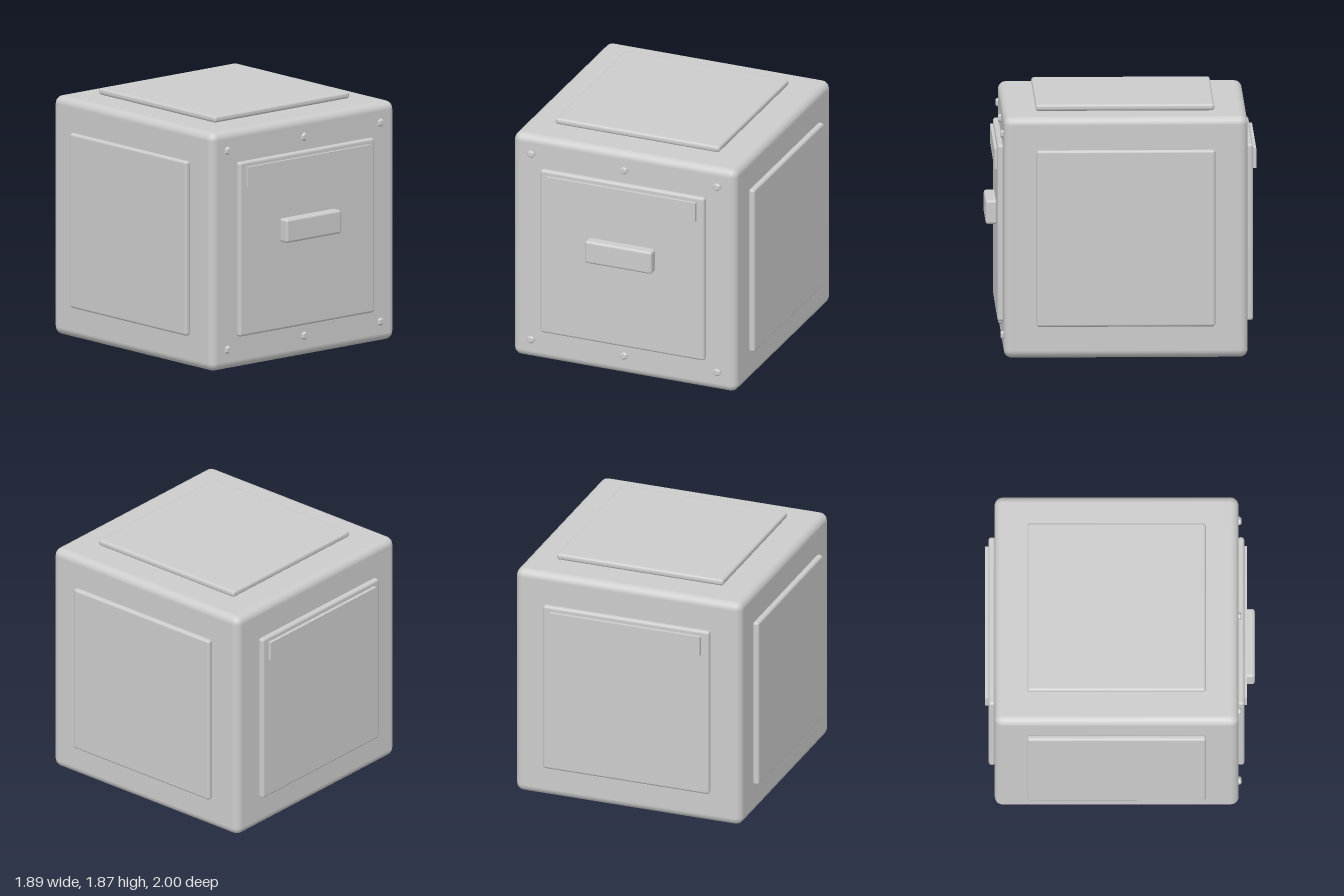
import * as THREE from 'three';
import { RoundedBoxGeometry } from 'three/addons/geometries/RoundedBoxGeometry.js';

// Rounded shell whose flat underside is left open
function openBottomShell(w, h, d, r) {
  const source = new RoundedBoxGeometry(w, h, d, 3, r);
  const pos = source.attributes.position, nor = source.attributes.normal;
  const p = [], n = [];
  for (let i = 0; i < pos.count; i += 3) {
    const underside = [0, 1, 2].every((k) => pos.getY(i + k) < -h / 2 + 1e-4);
    if (underside) continue;
    for (let k = i; k < i + 3; k++) {
      p.push(pos.getX(k), pos.getY(k), pos.getZ(k));
      n.push(nor.getX(k), nor.getY(k), nor.getZ(k));
    }
  }
  const geometry = new THREE.BufferGeometry();
  geometry.setAttribute('position', new THREE.Float32BufferAttribute(p, 3));
  geometry.setAttribute('normal', new THREE.Float32BufferAttribute(n, 3));
  return geometry;
}

export function createModel() {
  const model = new THREE.Group();
  model.name = 'panelledCrate';
  const grey = new THREE.MeshStandardMaterial({ color: 0xcccccc, side: THREE.DoubleSide });
  grey.name = 'light grey';

  const add = (name, geometry, x, y, z) => {
    const mesh = new THREE.Mesh(geometry, grey);
    mesh.name = name;
    mesh.position.set(x, y, z);
    model.add(mesh);
    return mesh;
  };

  const midY = 0.905, midZ = -0.025;

  // Main shell
  add('body', openBottomShell(1.8, 1.81, 1.81, 0.06), 0, midY, midZ);

  // Raised panels on four walls, and one hovering just over the top
  const size = 1.325, thick = 0.05;
  const wall = new RoundedBoxGeometry(size, size, thick, 2, 0.02);
  add('frontPanel', wall, 0, midY, 0.897);
  add('backPanel', wall, 0, midY, -0.95);
  add('leftPanel', wall, 0.922, midY, midZ).rotation.y = Math.PI / 2;
  add('rightPanel', wall, -0.922, midY, midZ).rotation.y = -Math.PI / 2;
  add('topPanel', wall, 0, 1.845, midZ).rotation.x = -Math.PI / 2;

  // Label plates and front handle
  const plate = new THREE.BoxGeometry(1.2, 0.15, 0.04);
  add('frontPlate', plate, 0, 1.453, 0.923);
  add('backPlate', plate, 0, 1.453, -0.98);
  add('handle', new RoundedBoxGeometry(0.54, 0.18, 0.09, 2, 0.02), 0, 1.0, 0.955);

  // Hexagonal bolts with chamfered heads
  const profile = [[0, -0.014], [0.031, -0.014], [0.031, 0.008], [0.022, 0.017], [0, 0.017]];
  const bolt = new THREE.LatheGeometry(profile.map(([r, y]) => new THREE.Vector2(r, y)), 6).toNonIndexed();
  bolt.computeVertexNormals();
  bolt.rotateX(Math.PI / 2);
  for (const y of [0.155, 1.665]) {
    for (const x of [-0.75, 0, 0.75]) add('bolt', bolt, x, y, 0.883);
  }

  return model;
}
